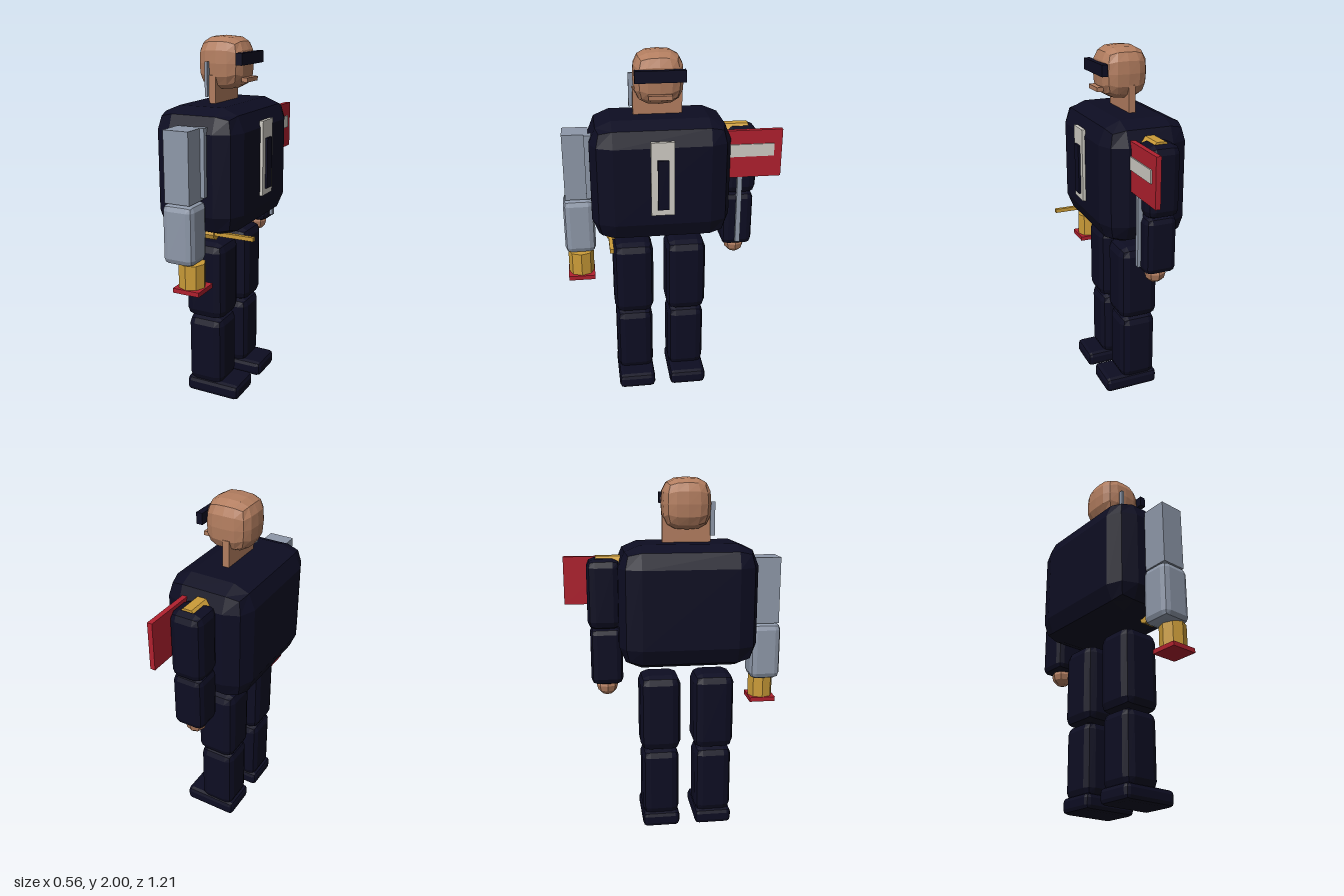
import * as THREE from 'three';
import { RoundedBoxGeometry } from 'three/addons/geometries/RoundedBoxGeometry.js';

const paint = (name, color) => {
  const m = new THREE.MeshStandardMaterial({ color, flatShading: true });
  m.name = name;
  return m;
};

export function createModel() {
  const model = new THREE.Group();
  model.name = 'figure';
  const navy = paint('navy', 0x0d0d22);
  const skin = paint('skin', 0xb27d5f);
  const steel = paint('steel', 0x8e98a9);
  const gold = paint('gold', 0xcb9c38);
  const red = paint('red', 0xb0202e);
  const white = paint('offWhite', 0xcfccc4);

  const add = (name, geometry, material, x = 0, y = 0, z = 0) => {
    const mesh = new THREE.Mesh(geometry, material);
    mesh.name = name;
    mesh.position.set(x, y, z);
    model.add(mesh);
    return mesh;
  };
  // Parts are given by their extents along each axis
  const mid = ([a, b]) => (a + b) / 2;
  const len = ([a, b]) => b - a;
  const box = (name, mat, x, y, z) =>
    add(name, new THREE.BoxGeometry(len(x), len(y), len(z)), mat, mid(x), mid(y), mid(z));
  // One bevel facet per edge
  const block = (name, mat, radius, x, y, z) =>
    add(name, new RoundedBoxGeometry(len(x), len(y), len(z), 1, radius), mat, mid(x), mid(y), mid(z));
  // Eight-sided cylinder with a corner on each axis
  const drum = (name, mat, radius, height, x, y, z) =>
    add(name, new THREE.CylinderGeometry(radius, radius, height, 8), mat, x, y, z);

  // Torso and chest badge
  block('torso', navy, 0.12, [-0.28, 0.21], [0.985, 1.655], [-0.315, 0.445]);
  box('chestPlate', white, [0.205, 0.226], [1.165, 1.57], [0.005, 0.13]);
  box('chestInset', navy, [0.22, 0.238], [1.2, 1.475], [0.037, 0.096]);

  // Head: a subdivided cube pushed onto a superellipsoid
  const head = new THREE.BoxGeometry(2, 2, 2, 4, 4, 4);
  const p = head.attributes.position;
  const v = new THREE.Vector3();
  for (let i = 0; i < p.count; i++) {
    v.fromBufferAttribute(p, i);
    const n = Math.cbrt(Math.abs(v.x) ** 3 + Math.abs(v.y) ** 3 + Math.abs(v.z) ** 3);
    v.divideScalar(n);
    p.setXYZ(i, v.x * 0.133, v.y * 0.14, v.z * 0.135);
  }
  head.computeVertexNormals();
  add('head', head, skin, -0.018, 1.86, 0.066);
  box('neck', skin, [-0.055, -0.018], [1.62, 1.8], [-0.066, 0.2]);
  box('visor', navy, [0.1, 0.135], [1.855, 1.917], [-0.066, 0.2]);
  box('mouth', skin, [0.1, 0.135], [1.765, 1.788], [0.005, 0.13]);
  box('earAntenna', steel, [-0.07, -0.055], [1.69, 1.87], [0.195, 0.22]);

  // Armoured right arm with a tool in place of the hand
  box('rightUpperArm', steel, [-0.105, 0.036], [1.2, 1.57], [0.445, 0.587]);
  box('rightArmRail', steel, [0.013, 0.059], [1.215, 1.57], [0.43, 0.47]);
  block('rightForearm', steel, 0.035, [-0.122, 0.054], [0.875, 1.197], [0.43, 0.602]);
  drum('toolBarrel', gold, 0.072, 0.14, 0.006, 0.81, 0.517);
  box('toolPlate', red, [-0.068, 0.085], [0.725, 0.75], [0.443, 0.592]);

  // Left arm with shoulder cuff, forearm strip and shield
  block('leftUpperArm', navy, 0.045, [-0.131, 0.054], [1.19, 1.575], [-0.48, -0.295]);
  const cuff = drum('shoulderCuff', gold, 0.064, 0.135, -0.034, 1.528, -0.362);
  cuff.rotation.set(Math.PI / 2, Math.PI / 8, 0, 'XYZ');
  block('leftForearm', navy, 0.035, [-0.122, 0.054], [0.875, 1.197], [-0.468, -0.292]);
  add('leftHand', new THREE.SphereGeometry(0.06, 8, 6), skin, -0.035, 0.86, -0.38);
  box('forearmStrip', steel, [0.045, 0.072], [0.905, 1.31], [-0.392, -0.365]);
  box('shield', red, [0.05, 0.078], [1.305, 1.572], [-0.605, -0.3]);
  box('shieldStripe', white, [0.077, 0.085], [1.425, 1.495], [-0.56, -0.31]);

  // Hip tool: hub and forward rod
  const hub = drum('hipHub', gold, 0.036, 0.08, 0.015, 0.99, 0.34);
  hub.rotation.z = Math.PI / 2;
  box('hipRod', gold, [0.03, 0.28], [0.983, 1.005], [0.34, 0.361]);

  // Legs
  for (const [side, z] of [['right', 0.22], ['left', -0.085]]) {
    block(side + 'Thigh', navy, 0.05, [-0.15, 0.08], [0.472, 0.917], [z - 0.115, z + 0.115]);
    block(side + 'Shin', navy, 0.045, [-0.142, 0.07], [0.07, 0.474], [z - 0.106, z + 0.106]);
    block(side + 'Foot', navy, 0.025, [-0.152, 0.17], [0, 0.088], [z - 0.107, z + 0.107]);
  }
  return model;
}
